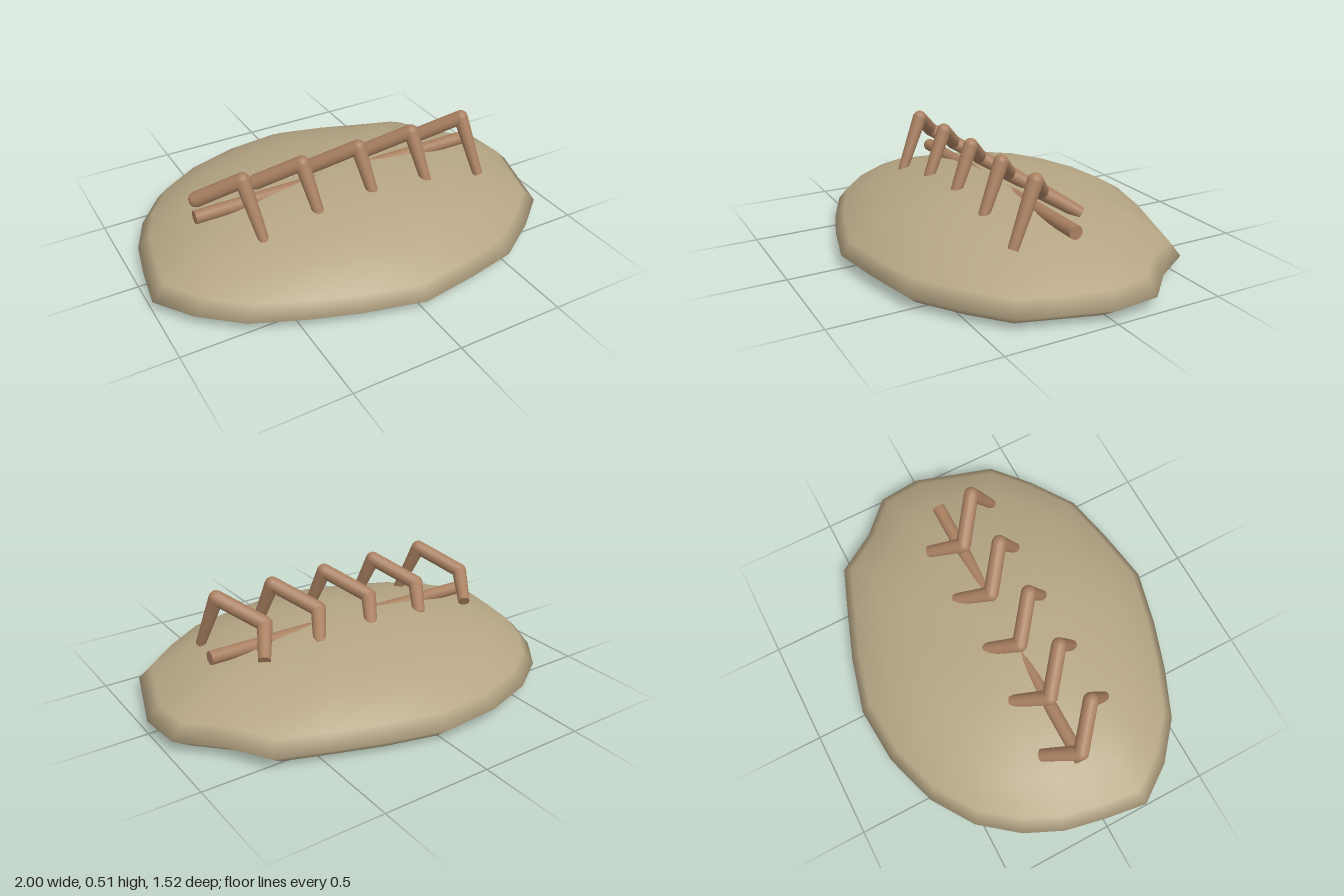
import * as THREE from 'three';

const sand = new THREE.MeshStandardMaterial({ color: 0xb5a584 });
sand.name = 'sand';
const bone = new THREE.MeshStandardMaterial({ color: 0xa87f60 });
bone.name = 'bone';

// Irregular outline of the mound at its widest, as x, z pairs
const OUTLINE = [
  [0, -0.765], [0.26, -0.7], [0.49, -0.62], [0.71, -0.54], [0.83, -0.35], [0.98, -0.2],
  [1, 0], [0.93, 0.22], [0.88, 0.38], [0.71, 0.525], [0.5, 0.665], [0.26, 0.715],
  [0, 0.755], [-0.26, 0.69], [-0.48, 0.615], [-0.71, 0.515], [-0.88, 0.37], [-1, 0.2],
  [-0.97, 0], [-0.93, -0.19], [-0.85, -0.365], [-0.715, -0.535], [-0.52, -0.665], [-0.27, -0.745],
];

// Rings of the mound from the underside centre to the summit: outline scale, height
const RINGS = [
  [0, 0], [0.6, 0], [0.91, 0], [1, 0.06], [0.94, 0.12], [0.77, 0.2],
  [0.58, 0.25], [0.38, 0.285], [0.18, 0.3], [0, 0.302],
];

function createMound() {
  const n = OUTLINE.length;
  const positions = [];
  const index = [];
  RINGS.forEach(([scale, height], j) => {
    OUTLINE.forEach(([x, z]) => {
      // Gentle unevenness on the upper slopes only
      const bump = j > 3 ? 0.006 * Math.sin(5 * x * scale + 1) * Math.sin(6 * z * scale) : 0;
      positions.push(x * scale, height + bump, z * scale);
    });
    if (j === RINGS.length - 1) return;
    for (let i = 0; i < n; i++) {
      const a = j * n + i;
      const b = j * n + (i + 1) % n;
      if (j > 0) index.push(a, a + n, b);
      if (j < RINGS.length - 2) index.push(b, a + n, b + n);
    }
  });
  const geometry = new THREE.BufferGeometry();
  geometry.setAttribute('position', new THREE.Float32BufferAttribute(positions, 3));
  geometry.setIndex(index);
  geometry.computeVertexNormals();
  const mound = new THREE.Mesh(geometry, sand);
  mound.name = 'sandMound';
  return mound;
}

// Tapered bone shaft between two points
function shaft(name, from, to, r0, r1) {
  const direction = to.clone().sub(from);
  const mesh = new THREE.Mesh(new THREE.CylinderGeometry(r1, r0, direction.length(), 16), bone);
  mesh.position.copy(from).add(to).multiplyScalar(0.5);
  mesh.quaternion.setFromUnitVectors(new THREE.Vector3(0, 1, 0), direction.normalize());
  mesh.name = name;
  return mesh;
}

function joint(name, at, radius) {
  const mesh = new THREE.Mesh(new THREE.SphereGeometry(radius, 16, 10), bone);
  mesh.position.copy(at);
  mesh.name = name;
  return mesh;
}

// One bent rib: front foot, peak, elbow above the spine, buried back end
function createRib() {
  const foot = new THREE.Vector3(0.06, 0.218, 0.25);
  const peak = new THREE.Vector3(0.025, 0.477, 0.13);
  const elbow = new THREE.Vector3(-0.138, 0.36, 0);
  const back = new THREE.Vector3(-0.05, 0.265, -0.145);
  const rib = new THREE.Group();
  rib.add(
    shaft('ribFront', foot, peak, 0.023, 0.034),
    joint('ribPeak', peak, 0.034),
    shaft('ribTop', peak, elbow, 0.034, 0.035),
    joint('ribElbow', elbow, 0.035),
    shaft('ribBack', elbow, back, 0.035, 0.028),
  );
  return rib;
}

export function createModel() {
  const model = new THREE.Group();
  model.name = 'buriedRibcage';
  model.add(createMound());

  // Spine lying half sunk along the summit
  model.add(shaft('spine', new THREE.Vector3(-0.715, 0.27, 0), new THREE.Vector3(0.695, 0.27, 0), 0.031, 0.031));

  // Five evenly spaced ribs
  for (let i = 0; i < 5; i++) {
    const rib = createRib();
    rib.position.x = -0.56 + 0.28 * i;
    rib.name = `rib${i + 1}`;
    model.add(rib);
  }
  return model;
}
